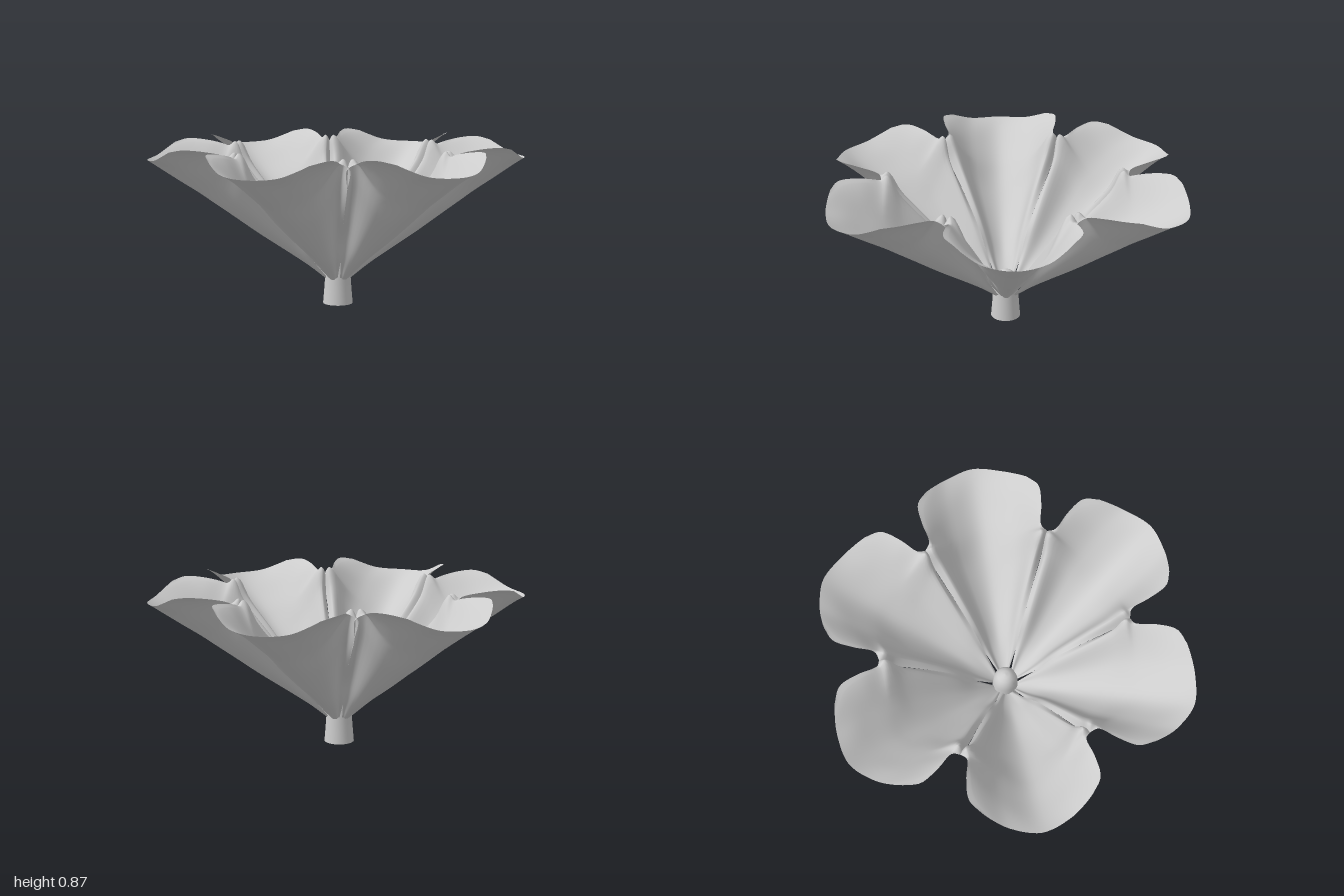
import * as THREE from 'three';

// Half cross-sections from claw to rim: centre [y, z], then folded crest and outer edge [x, y, z]
const STATIONS = [
  { c: [0.13, 0.06], crest: [0.018, 0.14, 0.06], edge: [0.026, 0.145, 0.06] },
  { c: [0.155, 0.09], crest: [0.04, 0.19, 0.095], edge: [0.05, 0.19, 0.095] },
  { c: [0.21, 0.16], crest: [0.072, 0.27, 0.16], edge: [0.085, 0.26, 0.147] },
  { c: [0.285, 0.27], crest: [0.112, 0.41, 0.25], edge: [0.13, 0.40, 0.225] },
  { c: [0.385, 0.42], crest: [0.185, 0.59, 0.38], edge: [0.21, 0.56, 0.364] },
  { c: [0.485, 0.56], crest: [0.25, 0.74, 0.49], edge: [0.285, 0.69, 0.494] },
  { c: [0.555, 0.66], crest: [0.285, 0.85, 0.54], edge: [0.325, 0.80, 0.55] },
  { c: [0.605, 0.73], crest: [0.28, 0.82, 0.585], edge: [0.295, 0.83, 0.59] },
  { c: [0.67, 0.83], crest: [0.29, 0.835, 0.68], edge: [0.315, 0.855, 0.69] },
  { c: [0.73, 0.92], crest: [0.29, 0.845, 0.78], edge: [0.32, 0.865, 0.80] },
  { c: [0.785, 1.0], mid: [0.15, 0.795, 0.955], crest: [0.235, 0.83, 0.90], edge: [0.27, 0.85, 0.87] },
];

// Seven control points across the petal, mirrored about its midrib
function crossSection({ c, mid, crest, edge }) {
  const m = mid || [crest[0] * 0.55, c[0] + (crest[1] - c[0]) * 0.25, (c[1] + crest[2]) / 2];
  const half = [m, crest, edge].map((p) => new THREE.Vector3(...p));
  const mirrored = half.map((p) => new THREE.Vector3(-p.x, p.y, p.z)).reverse();
  return [...mirrored, new THREE.Vector3(0, ...c), ...half];
}

// Smooth sheet lofted through the cross-sections
function petalGeometry(rows = 44, cols = 36) {
  const sections = STATIONS.map(crossSection);
  const rails = sections[0].map((_, k) => new THREE.CatmullRomCurve3(sections.map((s) => s[k])));
  const positions = [];
  const index = [];
  for (let i = 0; i <= rows; i++) {
    const across = new THREE.CatmullRomCurve3(rails.map((rail) => rail.getPoint(i / rows)));
    for (let j = 0; j <= cols; j++) {
      positions.push(...across.getPoint(j / cols).toArray());
      if (i === rows || j === cols) continue;
      const a = i * (cols + 1) + j;
      const b = a + cols + 1;
      index.push(a, b, a + 1, b, b + 1, a + 1);
    }
  }
  const geometry = new THREE.BufferGeometry();
  geometry.setAttribute('position', new THREE.Float32BufferAttribute(positions, 3));
  geometry.setIndex(index);
  geometry.computeVertexNormals();
  return geometry;
}

export function createModel() {
  const model = new THREE.Group();
  model.name = 'flower';
  const grey = new THREE.MeshStandardMaterial({ color: 0xcccccc, side: THREE.DoubleSide });
  grey.name = 'light grey';

  // Six petals meeting along folded seams
  const petal = petalGeometry();
  for (let i = 0; i < 6; i++) {
    const mesh = new THREE.Mesh(petal, grey);
    mesh.name = 'petal';
    mesh.rotation.y = (i * Math.PI) / 3;
    model.add(mesh);
  }

  // Tapered stem with a domed heart
  const profile = [[0.08, 0], [0.074, 0.07], [0.069, 0.14], [0.067, 0.19], [0.06, 0.23], [0.043, 0.258], [0.022, 0.271], [0, 0.275]];
  const stem = new THREE.Mesh(new THREE.LatheGeometry(profile.map((p) => new THREE.Vector2(...p)), 32), grey);
  stem.name = 'stem';
  model.add(stem);

  const base = new THREE.Mesh(new THREE.CircleGeometry(0.08, 32), grey);
  base.name = 'stemBase';
  base.rotation.x = Math.PI / 2;
  model.add(base);

  return model;
}
